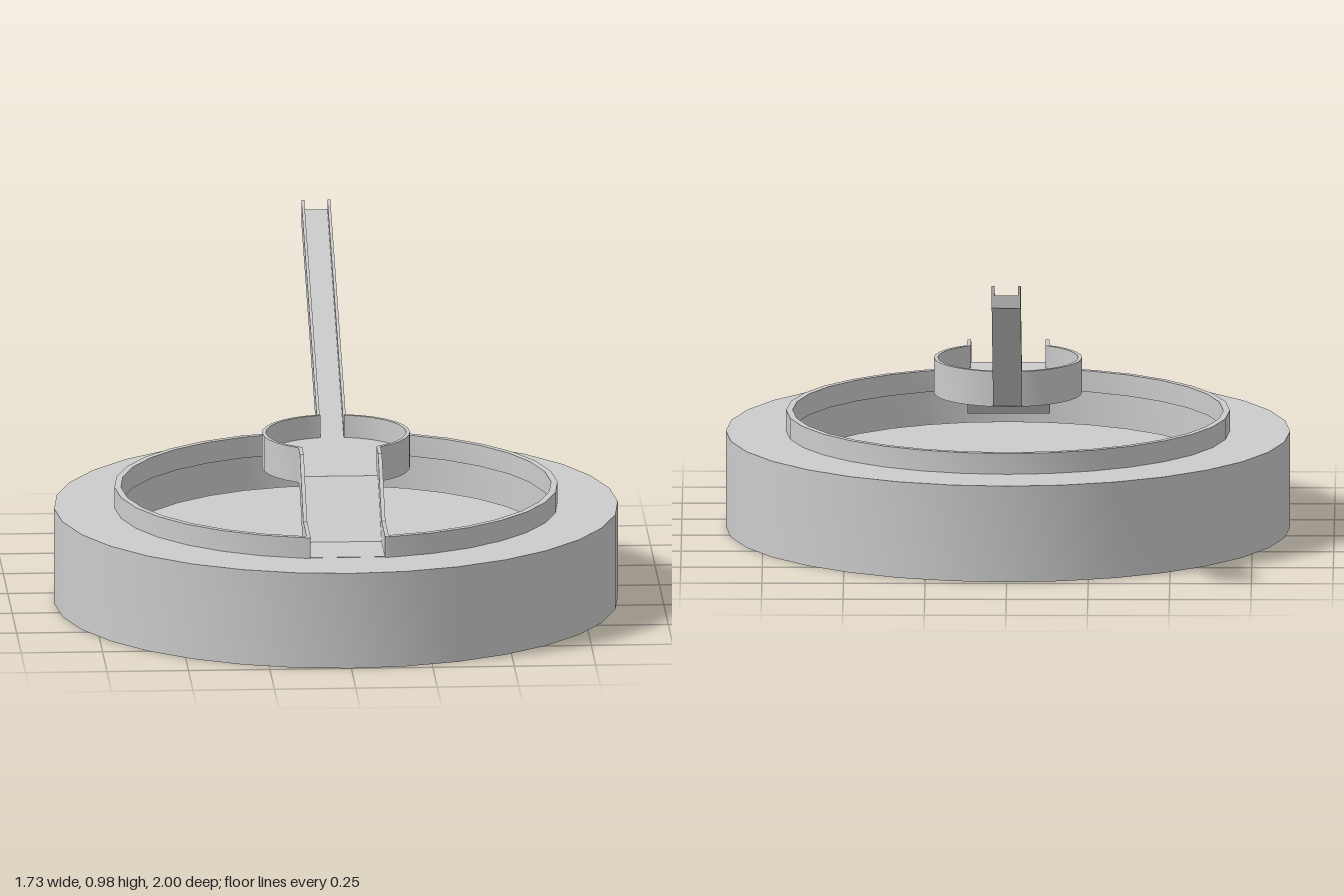
import * as THREE from 'three';
import { toCreasedNormals } from 'three/addons/utils/BufferGeometryUtils.js';

const SIDES = 32;
const CENTER_Z = 0.135;
const material = new THREE.MeshStandardMaterial({ color: 0xcccccc });

function addMesh(parent, name, geometry) {
  const mesh = new THREE.Mesh(toCreasedNormals(geometry, 0.4), material);
  mesh.name = name;
  parent.add(mesh);
  return mesh;
}

// Points on a 32-sided circle between two angles, in the ground plane
function arcPoints(radius, from, to) {
  const step = (Math.PI * 2) / SIDES;
  const angles = [from];
  for (let i = Math.ceil(from / step + 0.05); i * step < to - 0.01; i++) angles.push(i * step);
  angles.push(to);
  return angles.map(a => new THREE.Vector2(Math.cos(a) * radius, Math.sin(a) * radius));
}

// Upright extrusion of a ground-plane shape between two heights
function upright(shape, y0, y1) {
  return new THREE.ExtrudeGeometry(shape, { depth: y1 - y0, bevelEnabled: false })
    .rotateX(-Math.PI / 2)
    .translate(0, y0, CENTER_Z);
}

function arcWall(inner, outer, from, to, y0, y1) {
  const shape = new THREE.Shape([
    ...arcPoints(outer, from, to),
    ...arcPoints(inner, from, to).reverse(),
  ]);
  return upright(shape, y0, y1);
}

function disc(radius, y0, y1) {
  return new THREE.CylinderGeometry(radius, radius, y1 - y0, SIDES)
    .translate(0, (y0 + y1) / 2, CENTER_Z);
}

// Side profile given as [z, y] points, extruded across x around a middle x
function sideProfile(points, width, x = 0) {
  const shape = new THREE.Shape(points.map(p => new THREE.Vector2(p[0], p[1])));
  return new THREE.ExtrudeGeometry(shape, { depth: width, bevelEnabled: false })
    .translate(0, 0, -width / 2)
    .rotateY(-Math.PI / 2)
    .translate(x, 0, 0);
}

export function createModel() {
  const model = new THREE.Group();
  model.name = 'basin';
  const front = -Math.PI / 2;
  const back = Math.PI / 2;

  // Heavy outer ring with an open middle
  const ring = new THREE.Shape(arcPoints(0.865, 0, Math.PI * 2).slice(0, -1));
  ring.holes.push(new THREE.Path(arcPoints(0.665, 0, Math.PI * 2).slice(0, -1).reverse()));
  addMesh(model, 'outerRing', upright(ring, 0, 0.3));

  // Thin floor, slightly smaller than the opening
  addMesh(model, 'floor', disc(0.647, 0.19, 0.2));

  // Raised rim, open at the front for the chute
  const rimGap = Math.asin(0.12 / 0.68);
  addMesh(model, 'rim',
    arcWall(0.66, 0.68, front + rimGap, front + Math.PI * 2 - rimGap, 0.299, 0.365));

  // Central cup: base and two wall arcs, open to the chute and the spout
  const cup = new THREE.Group();
  cup.name = 'cup';
  model.add(cup);
  addMesh(cup, 'cupBase', disc(0.226, 0.42, 0.46));
  const chuteGap = Math.asin(0.118 / 0.222);
  const spoutGap = Math.asin(0.037 / 0.222);
  addMesh(cup, 'cupWallLeft', arcWall(0.215, 0.227, front + chuteGap, back - spoutGap, 0.42, 0.53));
  addMesh(cup, 'cupWallRight',
    arcWall(0.215, 0.227, back + spoutGap, front + Math.PI * 2 - chuteGap, 0.42, 0.53));

  // Chute falling from the cup to the top of the ring
  const chute = new THREE.Group();
  chute.name = 'chute';
  model.add(chute);
  addMesh(chute, 'chuteFloor', sideProfile([
    [0.3, 0.42], [0.41, 0.42], [0.605, 0.26], [0.798, 0.26],
    [0.798, 0.301], [0.605, 0.301], [0.41, 0.46], [0.3, 0.46],
  ], 0.235));
  const chuteSide = [
    [0.322, 0.42], [0.41, 0.42], [0.605, 0.26], [0.803, 0.26],
    [0.803, 0.365], [0.605, 0.365], [0.41, 0.53], [0.322, 0.53],
  ];

  // Long spout rising to the back
  const spout = new THREE.Group();
  spout.name = 'spout';
  model.add(spout);
  const spoutProfile = height => [
    [-1, 0.91], [-0.085, 0.42], [-0.085, 0.42 + height], [-1, 0.91 + height],
  ];
  addMesh(spout, 'spoutFloor', sideProfile(spoutProfile(0.04), 0.08));

  // Matching side walls of chute and spout
  for (const [side, s] of [['Left', 1], ['Right', -1]]) {
    addMesh(chute, 'chuteWall' + side, sideProfile(chuteSide, 0.012, s * 0.12));
    addMesh(spout, 'spoutWall' + side, sideProfile(spoutProfile(0.07), 0.009, s * 0.04));
  }
  return model;
}
